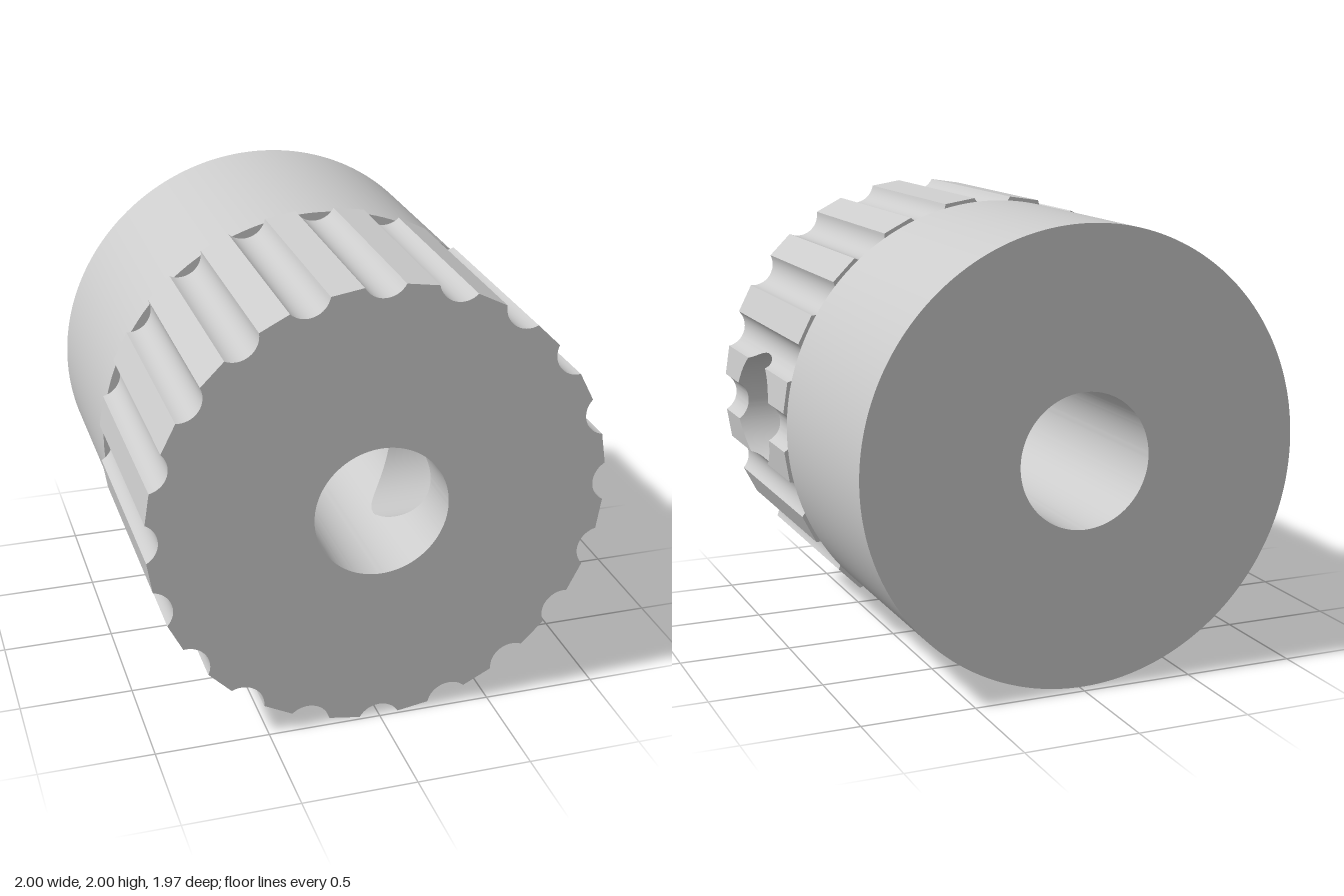
import * as THREE from 'three';
import { toCreasedNormals } from 'three/addons/utils/BufferGeometryUtils.js';

const TEETH = 20, TIP = 1.003, HALF = 0.087;          // tooth corner radius, groove half angle
const HUB = 0.985, BORE = 0.293, END = 0.985;         // radii and half length
const HOLE = 0.266, HOLE_Z = 0.497;                   // cross hole on the +x side

const material = new THREE.MeshStandardMaterial({ color: 0xcccccc });

// Closed counter-clockwise outlines in the xy plane
function circle(r, n = 192) {
  return Array.from({ length: n }, (_, i) => {
    const a = (i / n) * Math.PI * 2;
    return new THREE.Vector2(r * Math.cos(a), r * Math.sin(a));
  });
}

function toothedOutline() {
  const pts = [], steps = 16, centre = 1.047, o = new THREE.Vector2();
  const dx = centre - TIP * Math.cos(HALF), dy = TIP * Math.sin(HALF);
  const r = Math.hypot(dx, dy), spread = Math.atan2(dy, dx);
  for (let k = 0; k < TEETH; k++) {
    for (let i = 0; i <= steps; i++) {
      const t = spread * (2 * i / steps - 1);
      pts.push(new THREE.Vector2(centre - r * Math.cos(t), r * Math.sin(t))
        .rotateAround(o, (k / TEETH) * Math.PI * 2));
    }
  }
  return pts;
}

// Adds points where the outline meets the heights of the cross hole's rim
function splitForHole(pts) {
  const levels = Array.from({ length: 41 }, (_, i) => HOLE * Math.sin((i / 40 - 0.5) * Math.PI));
  return pts.flatMap((p, i) => {
    const q = pts[(i + 1) % pts.length];
    if (p.x < 0) return [p];
    const cuts = levels.map(y => (y - p.y) / (q.y - p.y))
      .filter(t => t > 1e-4 && t < 1 - 1e-4).sort((a, b) => a - b);
    return [p, ...cuts.map(t => p.clone().lerp(q, t))];
  });
}

// Half width of the cross hole at an outline point
const holeWidth = p => (p.x > 0 ? Math.sqrt(Math.max(0, HOLE * HOLE - p.y * p.y)) : 0);

function geometryFrom(positions) {
  const g = new THREE.BufferGeometry();
  g.setAttribute('position', new THREE.Float32BufferAttribute(positions, 3));
  return toCreasedNormals(g, 0.45);
}

function quad(out, a, b, c, d, flip) {
  const order = flip ? [a, c, b, a, d, c] : [a, b, c, a, c, d];
  order.forEach(v => out.push(...v));
}

// Wall swept along z, optionally pierced by the cross hole
function wall(pts, z0, z1, { pierced = false, inward = false } = {}) {
  const out = [];
  pts.forEach((p, i) => {
    const q = pts[(i + 1) % pts.length];
    const wp = pierced ? holeWidth(p) : 0, wq = pierced ? holeWidth(q) : 0;
    const strip = (pa, pb, qa, qb) => quad(out,
      [p.x, p.y, pa], [q.x, q.y, qa], [q.x, q.y, qb], [p.x, p.y, pb], inward);
    if (wp < 1e-4 && wq < 1e-4) strip(z0, z1, z0, z1);
    else {
      strip(z0, HOLE_Z - wp, z0, HOLE_Z - wq);
      strip(HOLE_Z + wp, z1, HOLE_Z + wq, z1);
    }
  });
  return geometryFrom(out);
}

// Side of the cross hole, from the bore out to the toothed surface
function tunnel(pts) {
  const out = [];
  pts.forEach((p, i) => {
    const q = pts[(i + 1) % pts.length];
    const wp = holeWidth(p), wq = holeWidth(q);
    if (wp < 1e-4 && wq < 1e-4) return;
    const inner = v => Math.sqrt(BORE * BORE - v.y * v.y);
    for (const s of [-1, 1]) {
      const zp = HOLE_Z + s * wp, zq = HOLE_Z + s * wq;
      quad(out, [inner(p), p.y, zp], [p.x, p.y, zp], [q.x, q.y, zq], [inner(q), q.y, zq], s > 0);
    }
  });
  return geometryFrom(out);
}

// Flat end face with a round opening
function face(pts, opening, z, backward) {
  const shape = new THREE.Shape(pts);
  shape.holes.push(new THREE.Path(circle(opening)));
  const g = new THREE.ShapeGeometry(shape);
  if (backward) g.rotateY(Math.PI);   // outlines are mirror-symmetric
  return g.translate(0, 0, z);
}

export function createModel() {
  const model = new THREE.Group();
  model.name = 'timingPulley';
  const add = (parent, name, geometry) => {
    const mesh = new THREE.Mesh(geometry, material);
    mesh.name = name;
    parent.add(mesh);
  };
  const section = name => {
    const g = new THREE.Group();
    g.name = name;
    g.position.y = 1;
    model.add(g);
    return g;
  };

  const teeth = toothedOutline(), teethSplit = splitForHole(teeth);
  const hubOutline = circle(HUB), boreOutline = splitForHole(circle(BORE));

  // Grooved front half
  const ring = section('toothedRing');
  add(ring, 'teeth', wall(teethSplit, 0, END, { pierced: true }));
  add(ring, 'frontFace', face(teeth, BORE, END));
  add(ring, 'toothBacks', face(teeth, 0.94, 0, true));
  add(ring, 'setScrewHole', tunnel(teethSplit));

  // Plain rear half
  const hub = section('hub');
  add(hub, 'hubSide', wall(hubOutline, -END, 0));
  add(hub, 'hubShoulder', face(hubOutline, 0.94, 0));
  add(hub, 'backFace', face(hubOutline, BORE, -END, true));

  // Shaft bore through both halves
  add(section('shaftBore'), 'boreWall', wall(boreOutline, -END, END, { pierced: true, inward: true }));
  return model;
}
